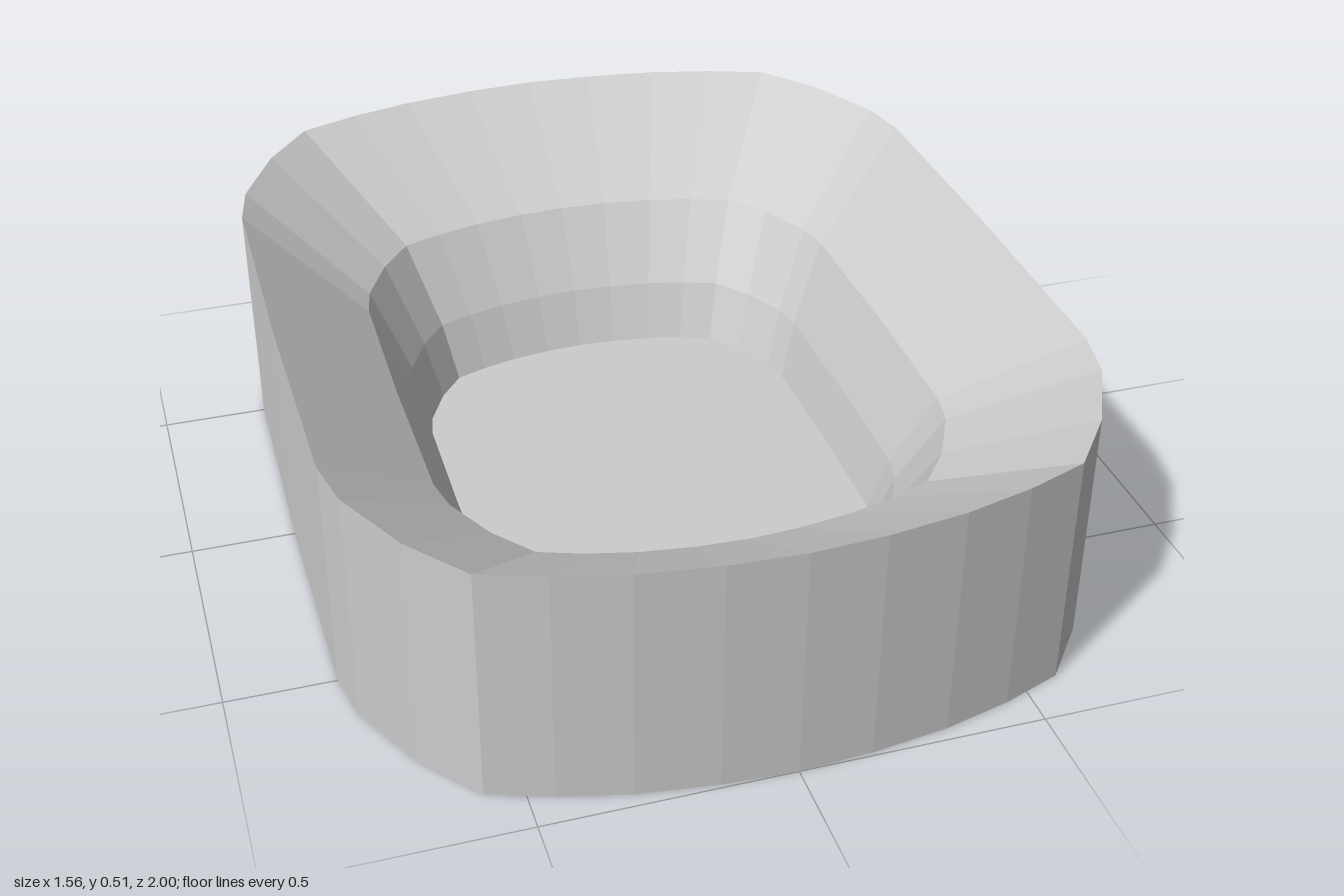
import * as THREE from 'three';

// One quarter of the rounded outline, as [x, z]
const QUARTER = [
  [0.782, 0], [0.776, 0.5], [0.753, 0.61], [0.672, 0.77], [0.575, 0.89],
  [0.45, 0.935], [0.31, 0.97], [0.15, 0.992], [0, 1],
];

// Mirror the quarter into a full loop running from +x through +z, -x and -z
function fullOutline() {
  const half = [...QUARTER, ...QUARTER.slice(0, -1).reverse().map(([x, z]) => [-x, z])];
  return [...half, ...half.slice(1, -1).reverse().map(([x, z]) => [x, -z])];
}

// Join scaled copies of the outline; each level is [scale, y], scale 0 is a cap centre
function loft(levels) {
  const outline = fullOutline();
  const n = outline.length;
  const pos = [];
  const point = ([s, y], i) => [outline[i % n][0] * s, y, outline[i % n][1] * s];
  for (let k = 0; k < levels.length - 1; k++) {
    const a = levels[k], b = levels[k + 1];
    for (let i = 0; i < n; i++) {
      if (a[0] > 0) pos.push(...point(a, i + 1), ...point(a, i), ...point(b, i));
      if (b[0] > 0) pos.push(...point(a, i + 1), ...point(b, i), ...point(b, i + 1));
    }
  }
  const geometry = new THREE.BufferGeometry();
  geometry.setAttribute('position', new THREE.Float32BufferAttribute(pos, 3));
  geometry.computeVertexNormals();
  return geometry;
}

export function createModel() {
  const group = new THREE.Group();
  group.name = 'basin';
  const material = new THREE.MeshStandardMaterial({ color: 0xcccccc, flatShading: true });

  const height = 0.508, floorY = 0.012;
  const parts = {
    base: [[0, 0], [1, 0]],
    outerWall: [[1, 0], [1, height]],
    // sloping lip, then two steeper bands down to the floor
    upperSlope: [[1, height], [0.69, 0.315]],
    lowerSlope: [[0.69, 0.315], [0.59, 0.14], [0.545, floorY]],
    floor: [[0.545, floorY], [0, floorY]],
  };
  for (const [name, levels] of Object.entries(parts)) {
    const mesh = new THREE.Mesh(loft(levels), material);
    mesh.name = name;
    group.add(mesh);
  }
  return group;
}
